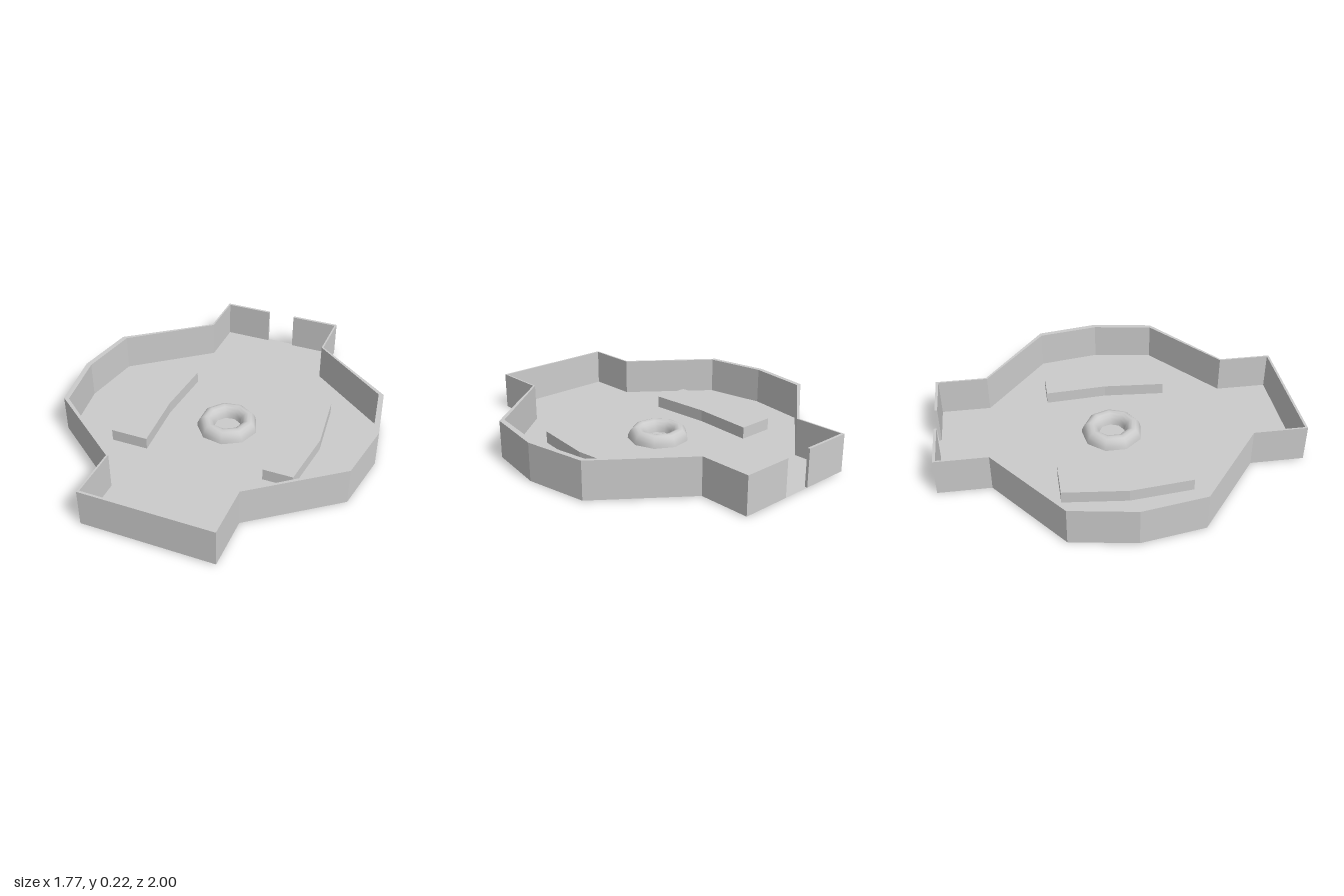
import * as THREE from 'three';

const material = new THREE.MeshStandardMaterial({ color: 0xcccccc, side: THREE.DoubleSide });
const BASE = 0.005, RIM = 0.215, PAD_TOP = 0.073;

function addMesh(parent, name, geometry) {
  const mesh = new THREE.Mesh(geometry, material);
  mesh.name = name;
  parent.add(mesh);
  return mesh;
}

// Flat-shaded strip between two matching [x, z] polylines at two heights
function strip(a, ya, b, yb) {
  const pos = [];
  for (let i = 0; i < a.length - 1; i++) {
    const p = [a[i][0], ya, a[i][1]], q = [a[i + 1][0], ya, a[i + 1][1]];
    const r = [b[i + 1][0], yb, b[i + 1][1]], s = [b[i][0], yb, b[i][1]];
    pos.push(...p, ...s, ...q, ...q, ...s, ...r);
  }
  const geometry = new THREE.BufferGeometry();
  geometry.setAttribute('position', new THREE.Float32BufferAttribute(pos, 3));
  geometry.computeVertexNormals();
  return geometry;
}

const toVectors = (points) => points.map(([x, z]) => new THREE.Vector2(x, -z));

// Horizontal sheet from an [x, z] outline, with optional holes
function sheet(points, y, holes = []) {
  const shape = new THREE.Shape(toVectors(points));
  holes.forEach((hole) => shape.holes.push(new THREE.Path(toVectors(hole))));
  return new THREE.ShapeGeometry(shape).rotateX(-Math.PI / 2).translate(0, y, 0);
}

// Mirrors a half outline across x = 0 into one open path
const mirrored = (half) => [...half, ...half.map(([x, z]) => [-x, z]).reverse()];

export function createModel() {
  const model = new THREE.Group();
  model.name = 'tray';

  // Outlines run from one side of the back notch round to the other
  const outer = mirrored([[0.083, -1], [0.367, -1], [0.367, -0.71], [0.825, -0.357],
    [0.883, -0.005], [0.825, 0.347], [0.367, 0.7], [0.367, 1]]);
  const inner = mirrored([[0.083, -0.985], [0.357, -0.985], [0.357, -0.704], [0.797, -0.352],
    [0.852, -0.005], [0.797, 0.342], [0.357, 0.694], [0.357, 0.987]]);
  const last = outer.length - 1;

  // Rim wall, open underneath, with closed ends at the notch
  const rim = new THREE.Group();
  rim.name = 'rimWall';
  model.add(rim);
  addMesh(rim, 'outerWall', strip(outer, BASE, outer, RIM));
  addMesh(rim, 'rimTop', strip(outer, RIM, inner, RIM));
  addMesh(rim, 'innerWall', strip(inner, RIM, inner, BASE));
  for (const i of [0, last]) {
    const end = [outer[i], inner[i]];
    addMesh(rim, 'notchEnd', strip(end, BASE, end, RIM));
  }

  // Raised curved pads, hollow from below
  const pads = [
    [[0.36, -0.36], [0.53, -0.36], [0.57, -0.005], [0.53, 0.347], [0.36, 0.347], [0.385, -0.005]],
    [[-0.322, -0.36], [-0.322 - 0.213, -0.36], [-0.572, -0.005], [-0.535, 0.347],
      [-0.322, 0.347], [-0.345, -0.005]],
  ];
  pads.forEach((points, i) => {
    const pad = new THREE.Group();
    pad.name = i === 0 ? 'leftPad' : 'rightPad';
    model.add(pad);
    const loop = [...points, points[0]];
    addMesh(pad, 'padSides', strip(loop, BASE, loop, PAD_TOP));
    addMesh(pad, 'padTop', sheet(points, PAD_TOP));
  });

  // Floor, reaching the outer edge at the notch
  addMesh(model, 'floor', sheet([outer[0], ...inner, outer[last]], BASE, pads));

  // Nine-sided half ring around the centre
  const profile = [];
  for (let i = 0; i <= 8; i++) {
    const t = (i / 8) * Math.PI;
    profile.push(new THREE.Vector2(0.125 + 0.05 * Math.cos(t), 0.07 * Math.sin(t)));
  }
  const ring = addMesh(model, 'centreRing', new THREE.LatheGeometry(profile, 9, Math.PI / 2));
  ring.position.set(0.015, 0, -0.015);

  return model;
}
